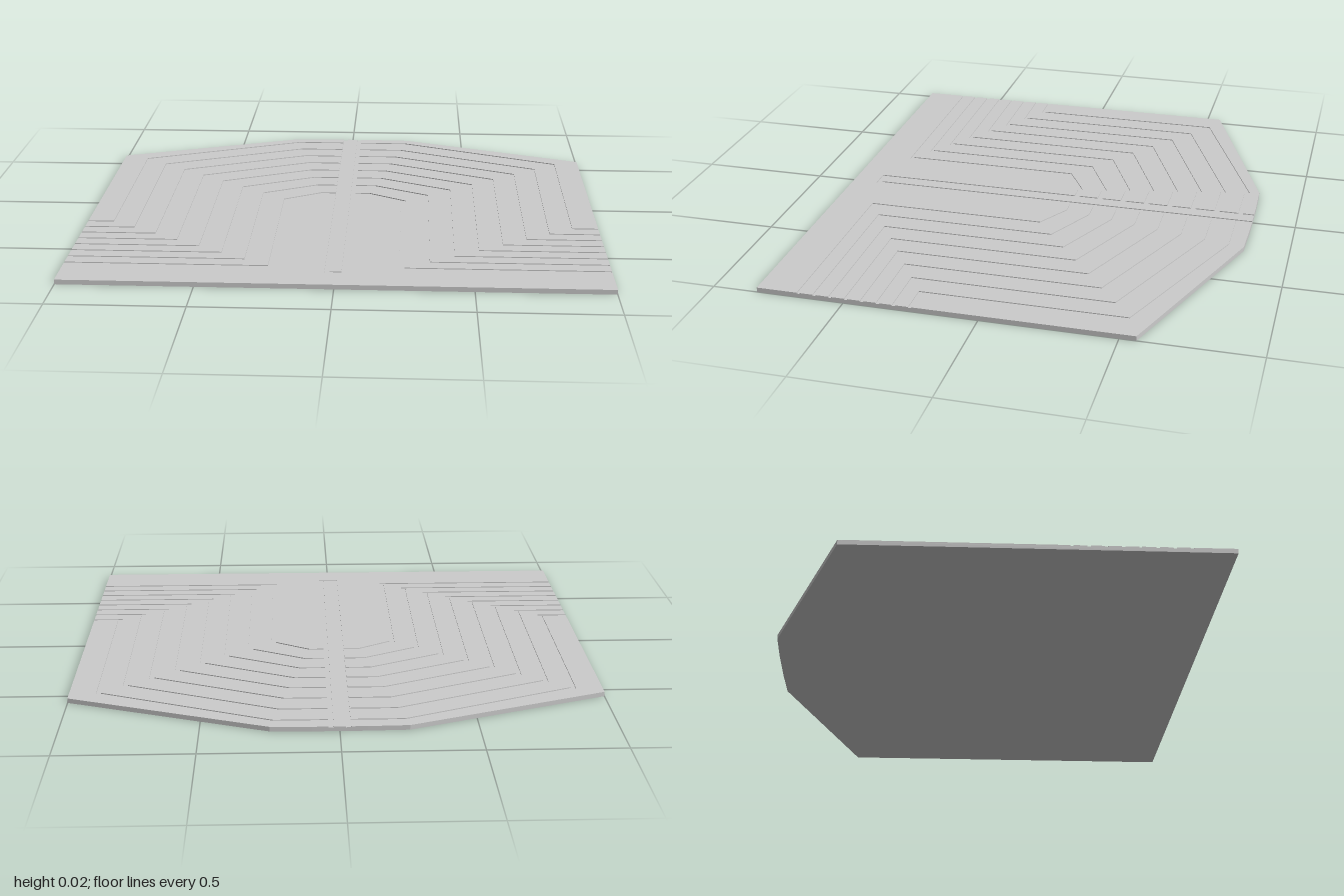
import * as THREE from 'three';

const TOP = 0.018, FLOOR = 0.0145;   // plate surface and groove floor heights
const GROOVES = 8, HALF = 0.1;       // grooves per side, half groove width in groove spacings
const CHANNEL = 0.04;                // half width of the central channel

const material = new THREE.MeshStandardMaterial({ color: 0xcccccc, flatShading: true });

// Extrudes an [x, z] outline upward from y0 to y1
function slab(name, outline, y0, y1) {
  const shape = new THREE.Shape(outline.map(([x, z]) => new THREE.Vector2(x, -z)));
  const geometry = new THREE.ExtrudeGeometry(shape, { depth: y1 - y0, bevelEnabled: false });
  geometry.rotateX(-Math.PI / 2);
  geometry.translate(0, y0, 0);
  const mesh = new THREE.Mesh(geometry, material);
  mesh.name = name;
  return mesh;
}

const mirror = (points) => points.map(([x, z]) => [-x, z]);

// Route of a groove from the central channel round to the side edge; i = 0 is innermost
function route(i) {
  const t = i / (GROOVES - 1);
  const mix = (a, b) => a + (b - a) * t;
  const legX = mix(0.24, 0.89), backZ = mix(-0.11, -0.78), exitZ = mix(0.67, 0.25);
  return [
    [CHANNEL, backZ],
    [mix(0.1, 0.24), backZ],
    [legX, mix(-0.03, -0.52)],
    [legX, exitZ],
    [1, exitZ],
  ];
}

export function createModel() {
  const group = new THREE.Group();
  group.name = 'groovedPlate';

  // Rear edge, from the central channel to the right-hand corner
  const rear = [[CHANNEL, -0.833], [0.1, -0.833], [0.25, -0.829], [1, -0.56]];

  // Solid plate whose top forms the groove floors
  const half = [...rear, [1, 0.83]];
  group.add(slab('basePlate', [...half, ...mirror(half).reverse()], 0, FLOOR));

  // Inner land, joined across the front and slotted for the channel
  const inner = [[CHANNEL, 0.73], ...route(-HALF), [1, 0.83]];
  group.add(slab('innerLand', [...inner, ...mirror(inner).reverse()], FLOOR, TOP));

  // Raised strip in the middle of the channel, leaving a groove on either side
  const s = CHANNEL * 0.55;
  group.add(slab('centreStrip', [[-s, -0.833], [s, -0.833], [s, 0.71], [-s, 0.71]], FLOOR, TOP));

  // Nested lands between neighbouring grooves, mirrored left and right
  for (let i = 0; i < GROOVES; i++) {
    const outer = i < GROOVES - 1 ? route(i + 1 - HALF) : rear;
    const land = [...route(i + HALF), ...outer.slice().reverse()];
    group.add(slab('leftLand' + (i + 1), land, FLOOR, TOP));
    group.add(slab('rightLand' + (i + 1), mirror(land), FLOOR, TOP));
  }
  return group;
}
